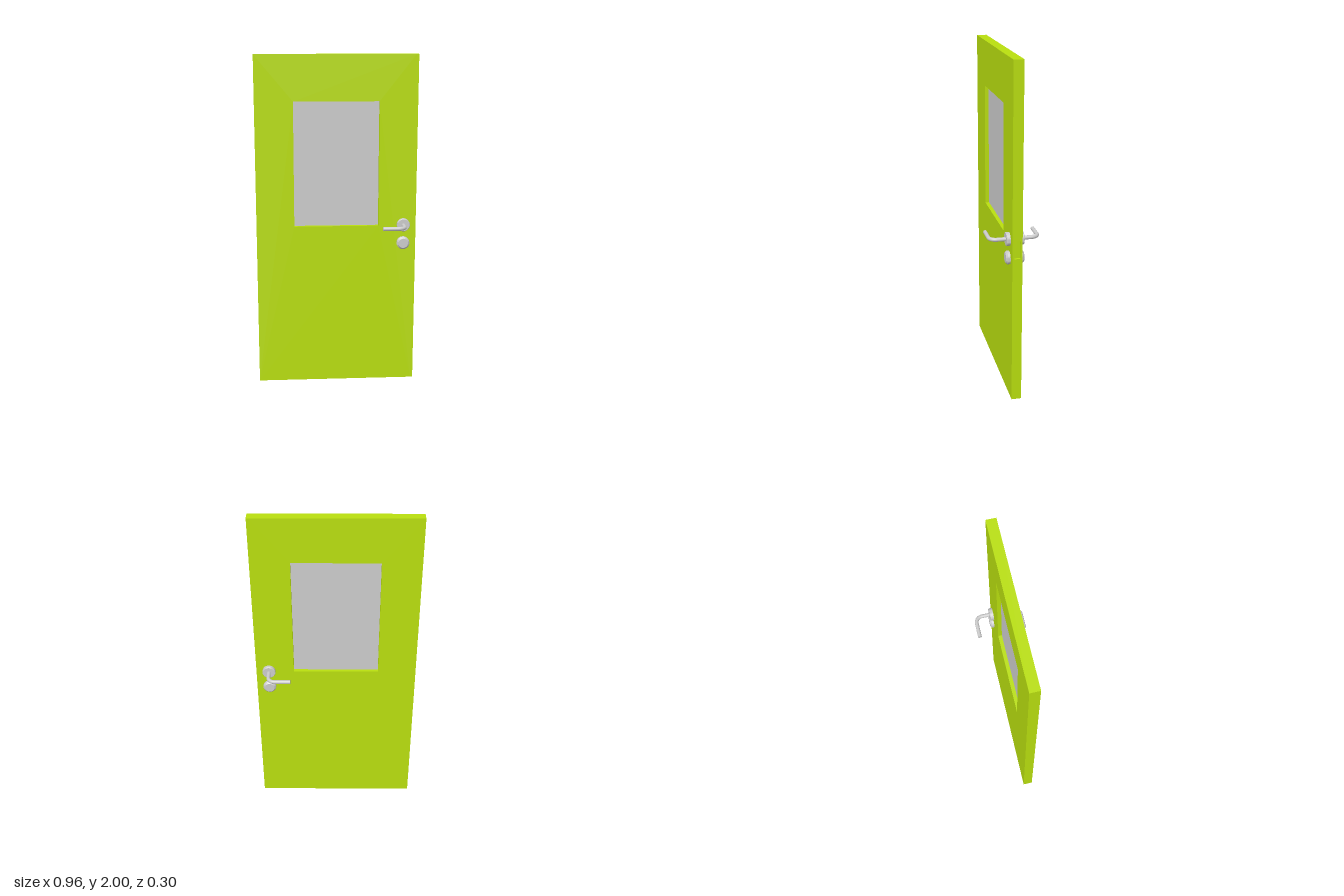
import * as THREE from 'three';
import { toCreasedNormals } from 'three/addons/utils/BufferGeometryUtils.js';

const W = 0.479, H = 2, BACK = -0.032, FRONT = 0.026;
const MID = (FRONT + BACK) / 2, THICK = FRONT - BACK;
const POCKET = 0.014, HANDLE_X = 0.403, HANDLE_Y = 0.99, LOCK_Y = 0.878;

const green = new THREE.MeshStandardMaterial({ color: 0xb8de0f });
const grey = new THREE.MeshStandardMaterial({ color: 0xcccccc });

function rectangle(Type, x0, y0, x1, y1) {
  return new Type([[x0, y0], [x1, y0], [x1, y1], [x0, y1]].map(p => new THREE.Vector2(...p)));
}

// Rectangular slab with a rectangular opening
function holedSlab(outer, hole, depth) {
  const shape = rectangle(THREE.Shape, ...outer);
  shape.holes.push(rectangle(THREE.Path, ...hole));
  return new THREE.ExtrudeGeometry(shape, { depth, bevelEnabled: false });
}

function add(parent, name, geometry, material) {
  const mesh = new THREE.Mesh(geometry, material);
  mesh.name = name;
  parent.add(mesh);
  return mesh;
}

// Round plate with a chamfered rim, facing +z (side 1) or -z (side -1)
function roundPlate(radius, depth, chamfer, side) {
  const profile = [[0, 0], [radius, 0], [radius, depth - chamfer], [radius - chamfer, depth], [0, depth]]
    .map(p => new THREE.Vector2(...p));
  const geometry = new THREE.LatheGeometry(profile, 32).rotateX(side * Math.PI / 2);
  return toCreasedNormals(geometry, 0.6);
}

function handleSet(side) {
  const set = new THREE.Group();
  set.name = side > 0 ? 'frontHandleSet' : 'backHandleSet';
  const face = side > 0 ? FRONT : BACK;

  add(set, 'handleRosette', roundPlate(0.039, 0.022, 0.003, side), grey)
    .position.set(HANDLE_X, HANDLE_Y, face);
  add(set, 'lockCover', roundPlate(0.039, 0.024, 0.01, side), grey)
    .position.set(HANDLE_X, LOCK_Y, face);

  // Lever: straight stem, rounded bend, straight grip
  const r = 0.0115, bend = 0.04, endX = 0.27;
  const gripZ = face + side * 0.111;
  const v = (x, z) => new THREE.Vector3(x, HANDLE_Y, z);
  const corner = v(HANDLE_X, gripZ);
  const bendStart = v(HANDLE_X, gripZ - side * bend);
  const bendEnd = v(HANDLE_X - bend, gripZ);
  const k = 0.55;
  const path = new THREE.CurvePath();
  path.add(new THREE.LineCurve3(v(HANDLE_X, face), bendStart));
  path.add(new THREE.CubicBezierCurve3(bendStart, bendStart.clone().lerp(corner, k),
    bendEnd.clone().lerp(corner, k), bendEnd));
  path.add(new THREE.LineCurve3(bendEnd, v(endX, gripZ)));
  add(set, 'lever', new THREE.TubeGeometry(path, 48, r, 16), grey);
  add(set, 'leverEnd', new THREE.CircleGeometry(r, 16).rotateY(-Math.PI / 2), grey)
    .position.set(endX, HANDLE_Y, gripZ);
  return set;
}

export function createModel() {
  const door = new THREE.Group();
  door.name = 'door';

  // Door leaf with window opening
  const leaf = holedSlab([-W, 0, W - POCKET, H], [-0.253, 0.985, 0.253, 1.73], THICK);
  add(door, 'leaf', leaf, green).position.z = BACK;

  // Latch-side edge strip with the lock pocket
  const edge = holedSlab([-THICK / 2, 0, THICK / 2, H], [-0.018, 0.895, 0.018, 1.0], POCKET);
  add(door, 'latchEdge', edge.rotateY(Math.PI / 2), green).position.set(W - POCKET, 0, MID);

  // Window pane
  add(door, 'windowPane', new THREE.BoxGeometry(0.506, 0.745, 0.012), grey)
    .position.set(0, 1.3575, MID);

  for (const side of [1, -1]) door.add(handleSet(side));
  return door;
}
